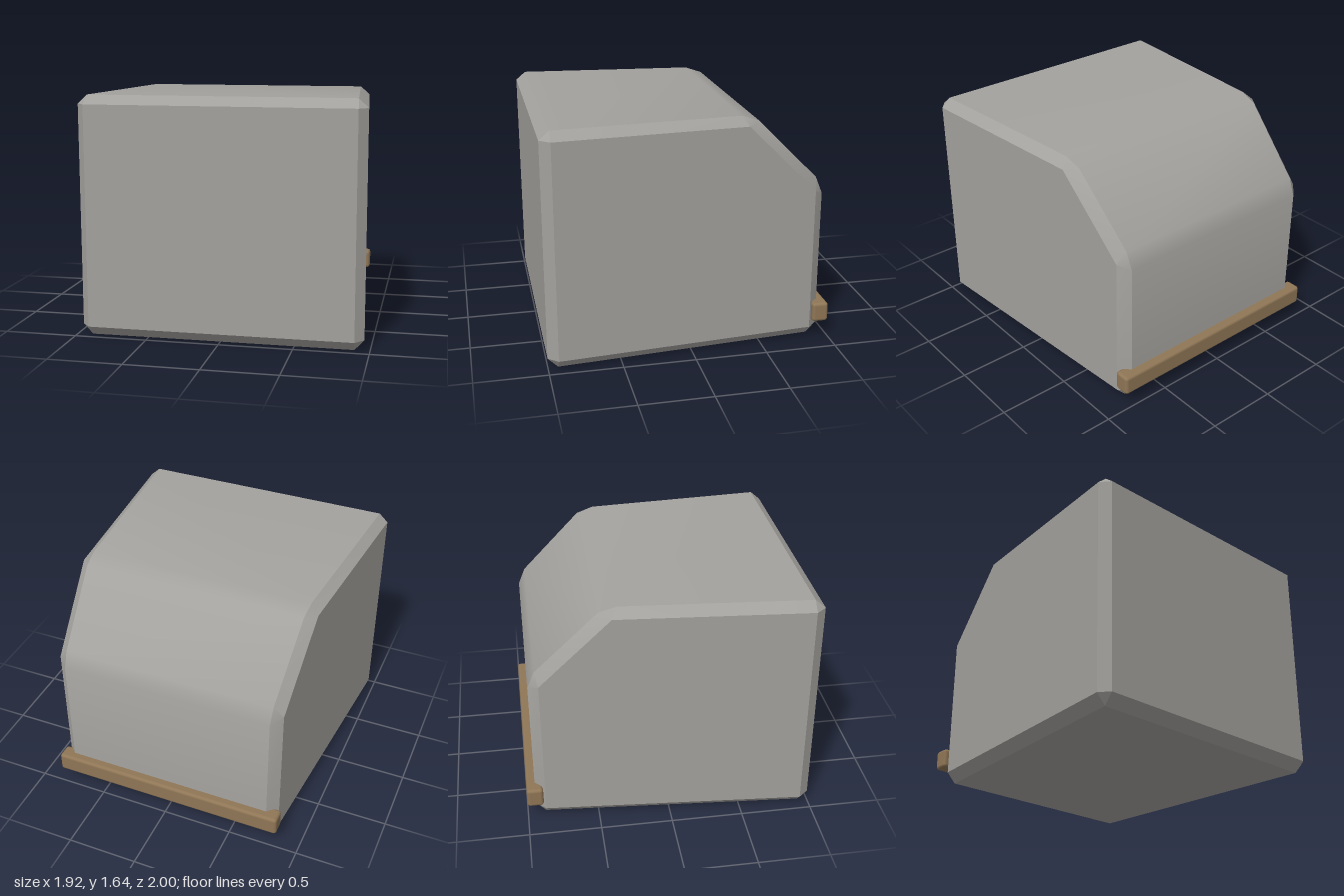
import * as THREE from 'three';
import { toCreasedNormals } from 'three/addons/utils/BufferGeometryUtils.js';
import { ConvexGeometry } from 'three/addons/geometries/ConvexGeometry.js';
import { RoundedBoxGeometry } from 'three/addons/geometries/RoundedBoxGeometry.js';

// Side profiles as [z, y]: the full outline, and the flat side panel inside its chamfer
const OUTLINE = [
  [1, 0.07], [0.93, 0], [-0.87, 0], [-0.94, 0.07], [-0.94, 1.05],
  [-0.89, 1.17], [-0.46, 1.6], [-0.34, 1.64], [0.93, 1.64], [1, 1.58],
];
const SIDE_PANEL = [[0.93, 0.07], [-0.87, 0.07], [-0.87, 1.09], [-0.38, 1.58], [0.93, 1.58]];
const CHAMFER = 0.065;

// The body narrows towards the back
const halfWidth = (z) => 0.889 + 0.079 * z;

export function createModel() {
  const group = new THREE.Group();
  const grey = new THREE.MeshStandardMaterial({ color: 0xa3a19d });
  grey.name = 'grey';
  const brown = new THREE.MeshStandardMaterial({ color: 0x8f7656 });
  brown.name = 'brown';

  // Chamfered, tapered body with a sloping upper back
  const points = [];
  for (const side of [-1, 1]) {
    for (const [z, y] of OUTLINE) points.push(new THREE.Vector3(side * (halfWidth(z) - CHAMFER), y, z));
    for (const [z, y] of SIDE_PANEL) points.push(new THREE.Vector3(side * halfWidth(z), y, z));
  }
  const body = new THREE.Mesh(toCreasedNormals(new ConvexGeometry(points), 0.5), grey);
  body.name = 'body';
  group.add(body);

  // Rounded bar across the lower back
  const bar = new THREE.Mesh(new RoundedBoxGeometry(1.69, 0.14, 0.115, 2, 0.022), brown);
  bar.name = 'rearBar';
  bar.position.set(0, 0.185, -0.9425);
  group.add(bar);

  return group;
}
